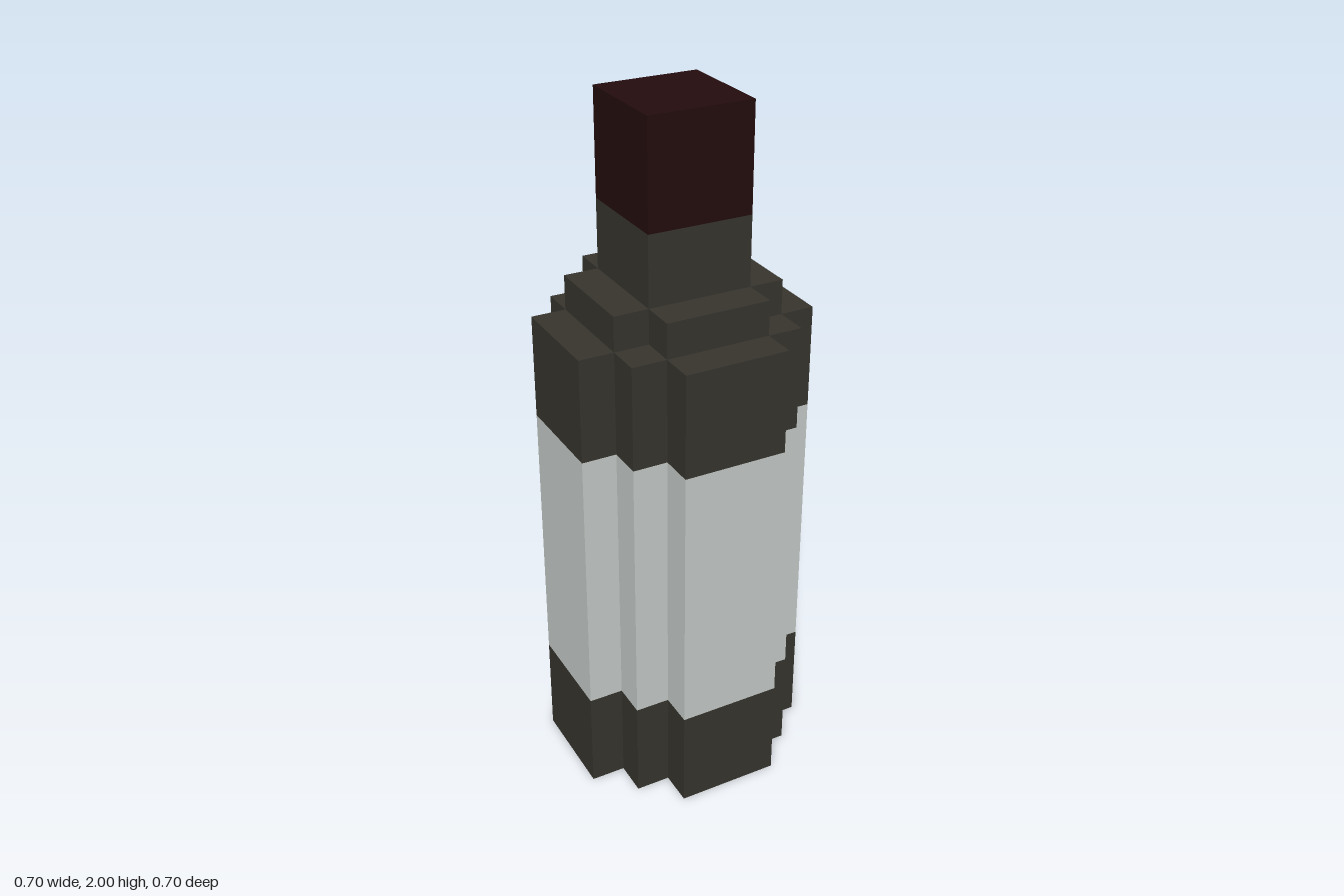
import * as THREE from 'three';

// Corner points of one quadrant, from the +x side round to the +z side
const BODY = [[0.35, 0.15], [0.25, 0.15], [0.25, 0.25], [0.15, 0.25], [0.15, 0.35]];
const SHOULDER = [[0.25, 0.15], [0.15, 0.15], [0.15, 0.25]];
const NECK = [[0.15, 0.15]];

// Turn the quadrant four times to close a stepped outline, then raise it from y0 to y1
function steppedPrism(quadrant, y0, y1) {
  const points = [];
  for (let turn = 0; turn < 4; turn++) {
    for (const [x, y] of quadrant) {
      let p = [x, y];
      for (let i = 0; i < turn; i++) p = [-p[1], p[0]];
      points.push(new THREE.Vector2(p[0], p[1]));
    }
  }
  const geometry = new THREE.ExtrudeGeometry(new THREE.Shape(points), {
    depth: y1 - y0,
    bevelEnabled: false,
  });
  return geometry.rotateX(-Math.PI / 2).translate(0, y0, 0);
}

export function createModel() {
  const material = (name, color) => {
    const m = new THREE.MeshStandardMaterial({ color });
    m.name = name;
    return m;
  };
  const glass = material('dark glass', 0x36342d);
  const paper = material('label paper', 0xc4cac7);
  const foil = material('dark red foil', 0x230c0d);

  const bottle = new THREE.Group();
  bottle.name = 'bottle';

  // Stacked sections from base to cap
  const sections = [
    ['base', BODY, 0, 0.3, glass],
    ['label', BODY, 0.3, 1.1, paper],
    ['upperBody', BODY, 1.1, 1.4, glass],
    ['shoulder', SHOULDER, 1.4, 1.5, glass],
    ['neck', NECK, 1.5, 1.7, glass],
    ['cap', NECK, 1.7, 2, foil],
  ];
  for (const [name, outline, y0, y1, mat] of sections) {
    const mesh = new THREE.Mesh(steppedPrism(outline, y0, y1), mat);
    mesh.name = name;
    bottle.add(mesh);
  }
  return bottle;
}
